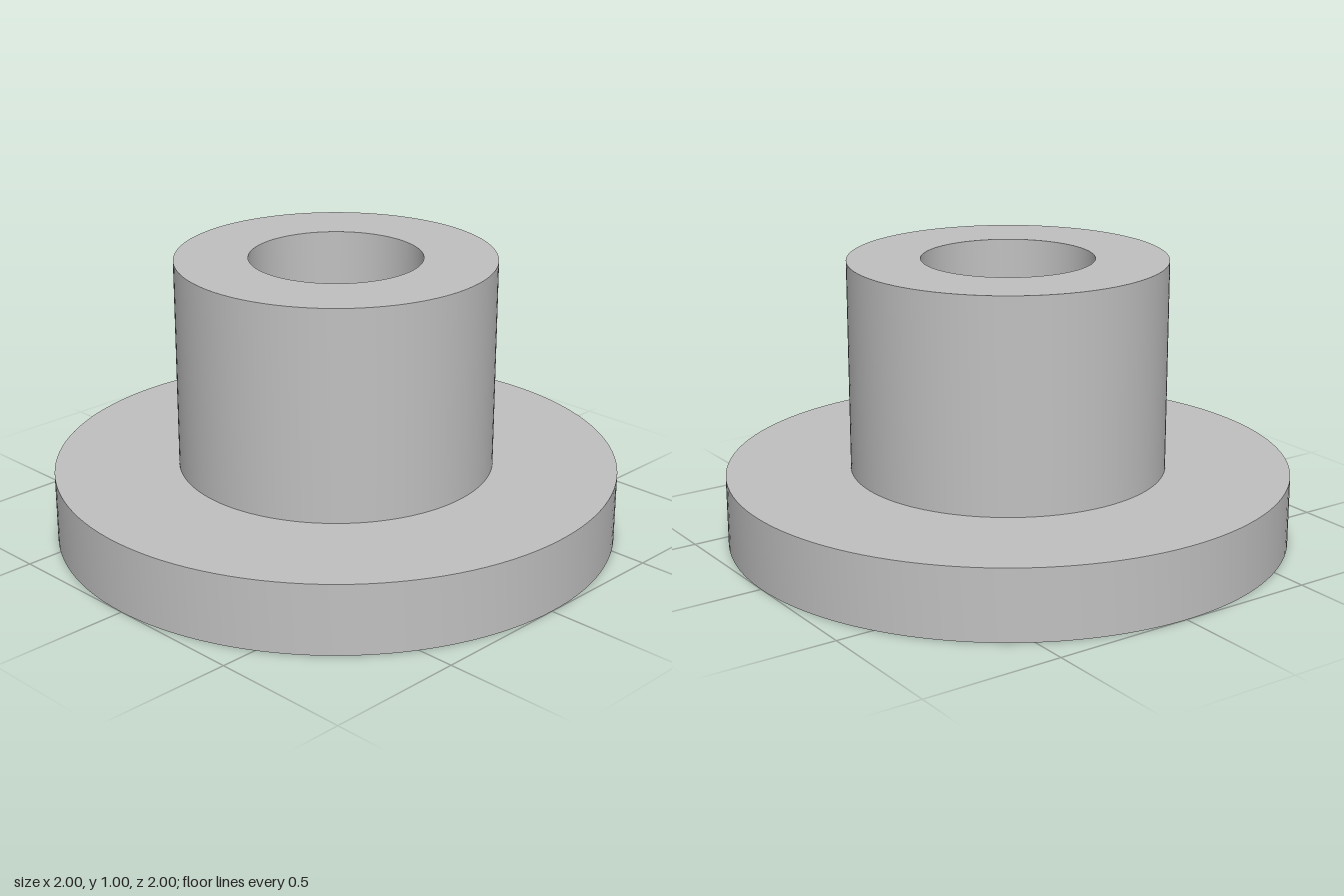
import * as THREE from 'three';
import { toCreasedNormals } from 'three/addons/utils/BufferGeometryUtils.js';

const BORE = 0.303, HUB = 0.56, FLANGE = 1;
const FLANGE_TOP = 0.25, HUB_TOP = 1;

// Revolve a profile of [radius, height] points, keeping its corners sharp
function turned(name, profile, material) {
  const points = profile.map(([r, y]) => new THREE.Vector2(r, y));
  const geometry = toCreasedNormals(new THREE.LatheGeometry(points, 128), 0.6);
  const mesh = new THREE.Mesh(geometry, material);
  mesh.name = name;
  return mesh;
}

export function createModel() {
  const metal = new THREE.MeshStandardMaterial({ color: 0xc0c0c0 });
  metal.name = 'plain grey metal';

  const bushing = new THREE.Group();
  bushing.name = 'flangedBushing';

  // Wide base disc with its stretch of the bore, open under the hub
  bushing.add(turned('flange', [
    [BORE, FLANGE_TOP], [BORE, 0], [FLANGE, 0], [FLANGE, FLANGE_TOP], [HUB, FLANGE_TOP],
  ], metal));

  // Upright sleeve continuing the bore to the top
  bushing.add(turned('hub', [
    [HUB, FLANGE_TOP], [HUB, HUB_TOP], [BORE, HUB_TOP], [BORE, FLANGE_TOP],
  ], metal));

  return bushing;
}
